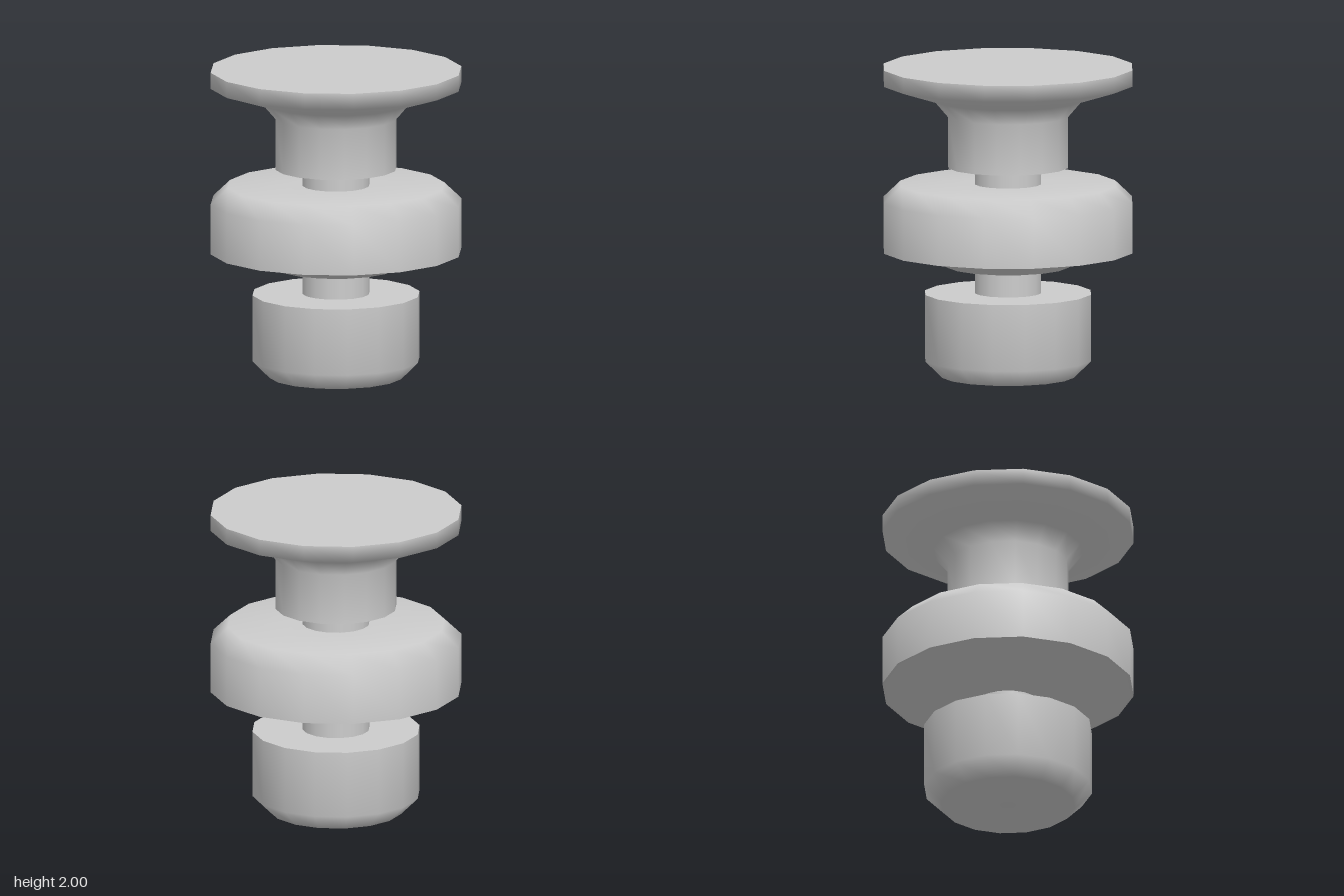
import * as THREE from 'three';

const SIDES = 16;

export function createModel() {
  const model = new THREE.Group();
  const metal = new THREE.MeshStandardMaterial({ color: 0xcccccc });
  metal.name = 'light grey';

  // Each strip is a smooth run of [radius, height] points, listed upwards on the
  // outside; separate strips meet at hard edges.
  function turned(name, ...strips) {
    const part = new THREE.Group();
    part.name = name;
    strips.forEach((strip, i) => {
      const points = strip.map(([r, y]) => new THREE.Vector2(r, y));
      const mesh = new THREE.Mesh(new THREE.LatheGeometry(points, SIDES), metal);
      mesh.name = `${name}Surface${i + 1}`;
      part.add(mesh);
    });
    model.add(part);
  }

  // Foot with chamfered bottom
  turned('foot',
    [[0, 0], [0.43, 0], [0.54, 0.11], [0.54, 0.54]],
    [[0.54, 0.54], [0.215, 0.54]]);

  // Thin pins joining the three bodies
  turned('lowerPin', [[0.215, 0.54], [0.215, 0.71]]);
  turned('upperPin', [[0.215, 1.245], [0.215, 1.355]]);

  // Wide collar: conical underside, then wall with chamfered top
  turned('collar',
    [[0.215, 0.71], [0.39, 0.71], [0.585, 0.815], [0.81, 0.815]],
    [[0.81, 0.815], [0.81, 1.14], [0.70, 1.245], [0.215, 1.245]]);

  // Neck flaring into the flat head
  turned('head',
    [[0.215, 1.355], [0.39, 1.355]],
    [[0.39, 1.355], [0.39, 1.685], [0.48, 1.79], [0.81, 1.895], [0.81, 2]],
    [[0.81, 2], [0, 2]]);

  return model;
}
